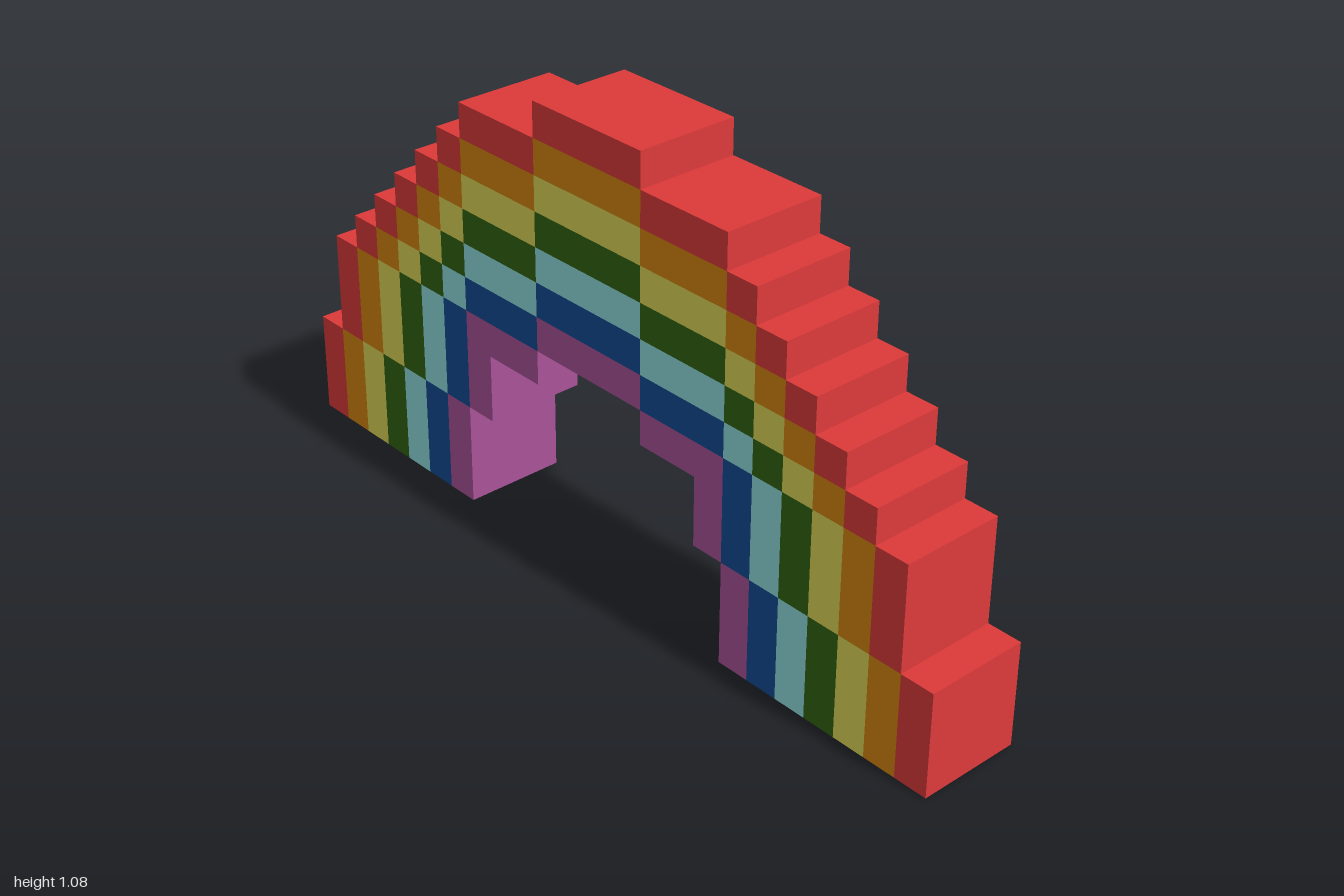
import * as THREE from 'three';

const U = 1 / 12; // one block
const DEPTH = 3;

// Bands from the outside in
const BANDS = [
  ['red', 0xdd3a3a], ['orange', 0xd6840e], ['yellow', 0xdcd657], ['green', 0x31640e],
  ['cyan', 0x8fdede], ['blue', 0x0e4b94], ['purple', 0xa85298],
];

export function createModel() {
  const model = new THREE.Group();
  model.name = 'rainbowArch';

  BANDS.forEach(([colorName, color], k) => {
    const band = new THREE.Group();
    band.name = `${colorName}Band`;
    model.add(band);
    const material = new THREE.MeshStandardMaterial({ color, flatShading: true });

    // Block given by its extents in block units
    const block = (name, x0, x1, y0, y1) => {
      const geometry = new THREE.BoxGeometry((x1 - x0) * U, (y1 - y0) * U, DEPTH * U);
      const mesh = new THREE.Mesh(geometry, material);
      mesh.position.set((x0 + x1) / 2 * U, (y0 + y1) / 2 * U, 0);
      mesh.name = name;
      band.add(mesh);
    };
    // The same block on both sides
    const pair = (name, x0, x1, y0, y1) => {
      block(`${name}Left`, x0, x1, y0, y1);
      block(`${name}Right`, -x1, -x0, y0, y1);
    };

    block('crown', -2, 2, 12 - k, 13 - k);
    // The innermost shoulder stops at its upright
    pair('shoulder', 2, Math.min(5, 10 - k), 11 - k, 12 - k);
    // Staircase of single blocks, shorter towards the inside
    for (let j = 0; j < 5 - k; j++) pair(`step${j + 1}`, 5 + j, 6 + j, 10 - k - j, 11 - k - j);
    pair('upright', 10 - k, 11 - k, 3, 6);
    pair('foot', 11 - k, 12 - k, 0, 3);
  });

  return model;
}
